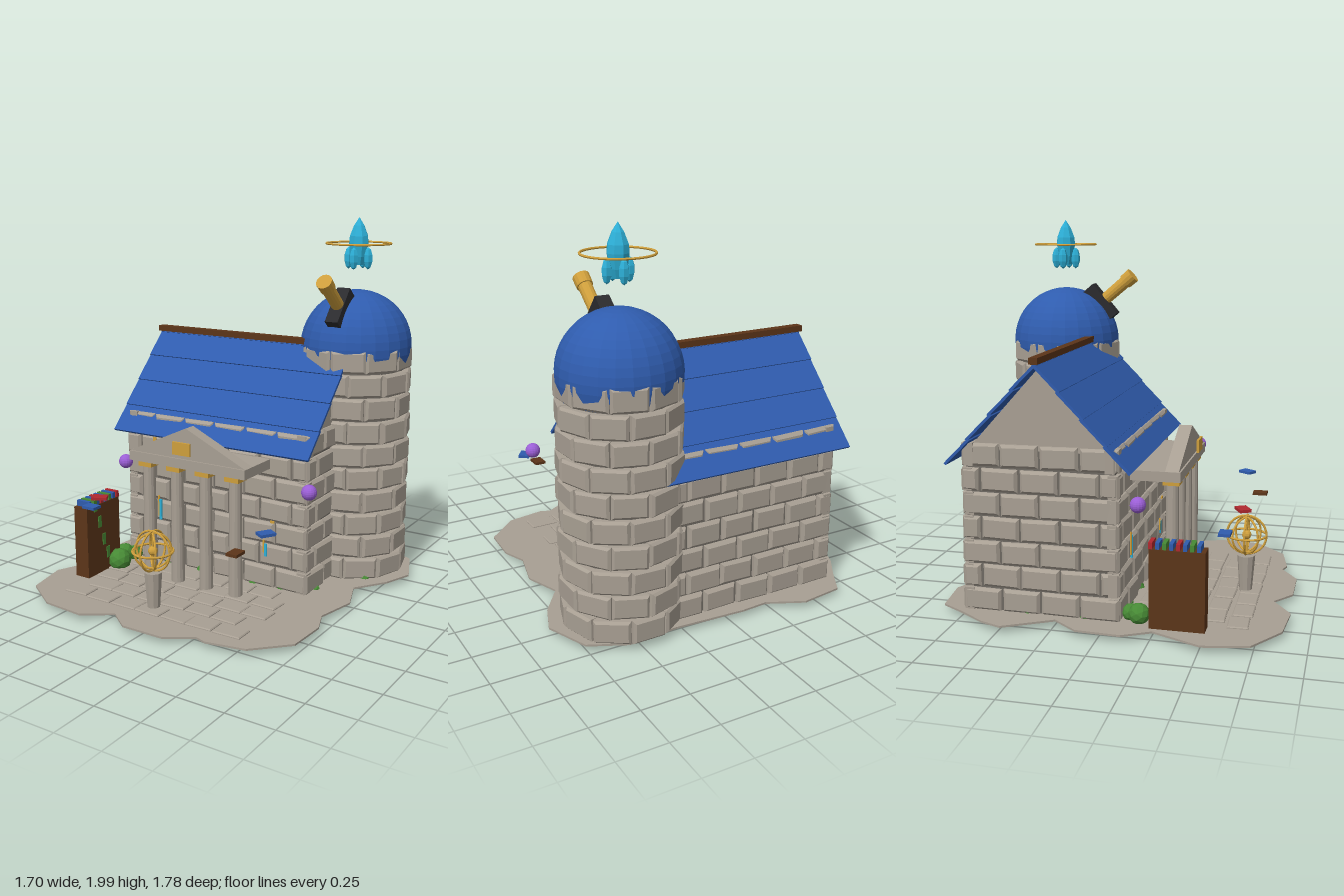
import * as THREE from 'three';
import { mergeGeometries } from 'three/addons/utils/BufferGeometryUtils.js';

const mat = (name, color, extra = {}) => new THREE.MeshStandardMaterial({ name, color, ...extra });

export function createModel() {
  const M = {
    stone: mat('stone', 0xa89f93), mortar: mat('mortar', 0x6f6a63), blue: mat('roof blue', 0x2f5cae),
    gold: mat('brass', 0xcf9f3c), wood: mat('dark wood', 0x5c3519), cyan: mat('cyan', 0x2db0d8),
    purple: mat('purple', 0x9b5fd6), green: mat('leaf green', 0x478a35), red: mat('book red', 0xb0282f),
    dark: mat('iron', 0x2b2b2e),
  };
  Object.values(M).forEach((m) => { m.flatShading = true; });
  const model = new THREE.Group();
  const add = (name, geo, m, x = 0, y = 0, z = 0, parent = model) => {
    const o = new THREE.Mesh(geo, m);
    o.name = name;
    o.position.set(x, y, z);
    parent.add(o);
    return o;
  };
  const box = (name, m, w, h, d, x, y, z, parent) => add(name, new THREE.BoxGeometry(w, h, d), m, x, y, z, parent);
  const group = (name, x, y, z) => {
    const g = new THREE.Group();
    g.name = name;
    g.position.set(x, y, z);
    model.add(g);
    return g;
  };
  let seed = 7;
  const rnd = (a) => { seed = (seed * 16807) % 2147483647; return (seed / 2147483647 - 0.5) * 2 * a; };

  // Brick with a chamfered outer (+z) face
  const brick = (w, h, d, c = 0.014) => {
    const g = new THREE.BoxGeometry(w, h, d, 1, 1, 2);
    const p = g.attributes.position;
    for (let i = 0; i < p.count; i++) {
      const z = p.getZ(i);
      if (z > 0.001) p.setXY(i, p.getX(i) - Math.sign(p.getX(i)) * c, p.getY(i) - Math.sign(p.getY(i)) * c);
      else if (Math.abs(z) < 0.001) p.setZ(i, d / 2 - c);
    }
    return g;
  };

  // Ground slab
  const outline = [-.85, -.48, -.81, -.59, -.71, -.74, -.64, -.86, -.41, -.89, -.22, -.8, -.08, -.81, .3, -.79,
    .57, -.81, .76, -.72, .85, -.49, .79, -.33, .67, -.16, .74, .03, .69, .25, .74, .38, .73, .6, .56, .77,
    .35, .81, .29, .79, .15, .88, -.09, .88, -.21, .79, -.36, .89, -.6, .87, -.8, .74, -.85, .51, -.74, .26,
    -.82, .12, -.81, -.11, -.71, -.24];
  const pts = [];
  for (let i = 0; i < outline.length; i += 2) pts.push(new THREE.Vector2(outline[i], -outline[i + 1]));
  const slab = new THREE.ExtrudeGeometry(new THREE.Shape(pts), { depth: 0.01, bevelEnabled: false });
  add('groundSlab', slab.rotateX(-Math.PI / 2), M.stone, 0, 0.035, 0);

  // Paving stones in staggered rows
  const paving = [];
  [[-.545, .655, 7], [-.48, .53, 6], [-.54, .405, 7], [-.56, .28, 7], [-.48, .165, 6]].forEach(([x0, z, n]) => {
    for (let i = 0; i < n; i++) {
      const g = brick(0.145 + rnd(0.008), 0.105, 0.02, 0.005).rotateX(-Math.PI / 2).rotateY(rnd(0.05));
      paving.push(g.translate(x0 + i * 0.158 + rnd(0.008), 0.044, z + rnd(0.006)));
    }
  });
  add('paving', mergeGeometries(paving), M.stone);

  // House core, brick walls and gable block
  const cx = -0.085, cz = -0.33;
  box('houseCore', M.mortar, 1.13, 0.85, 0.77, cx, 0.455, cz);
  const bricks = [];
  const wall = (len, dist, angle) => {
    const n = Math.round(len / 0.195);
    for (let r = 0; r < 7; r++) {
      const shift = r % 2 ? 0.5 : 0;
      for (let i = 0; i < n + (r % 2); i++) {
        const a = Math.max(0, i - shift) * len / n, b = Math.min(n, i + 1 - shift) * len / n;
        const g = brick(b - a - 0.01 + rnd(0.004), 0.116, 0.06).rotateY(rnd(0.04)).rotateZ(rnd(0.02));
        g.translate((a + b - len) / 2, 0.1 + r * 0.125, dist - 0.03 + rnd(0.005) - (r === 6 ? 0.008 : 0));
        bricks.push(g.rotateY(angle).translate(cx, 0, cz));
      }
    }
  };
  for (let k = 0; k < 4; k++) wall(k % 2 ? 0.82 : 1.18, k % 2 ? 0.59 : 0.41, k * Math.PI / 2);
  add('houseBricks', mergeGeometries(bricks), M.stone);
  const gable = new THREE.Shape([new THREE.Vector2(-0.385, 0.86), new THREE.Vector2(0.385, 0.86), new THREE.Vector2(0, 1.29)]);
  const gableGeo = new THREE.ExtrudeGeometry(gable, { depth: 1.12, bevelEnabled: false });
  add('gables', gableGeo.translate(0, 0, -0.56).rotateY(Math.PI / 2), M.stone, cx, 0, cz);

  // Roof: four overlapping courses on each slope, with a ridge beam
  const L = 0.69 / 4;
  [0, Math.PI].forEach((turn, k) => {
    const side = group(k ? 'backRoof' : 'frontRoof', cx, 1.315, cz);
    side.rotation.y = turn;
    const slope = new THREE.Group();
    slope.rotation.x = 0.828;
    side.add(slope);
    for (let i = 0; i < 4; i++) {
      box('roofCourse', M.blue, 1.25, 0.014, L + 0.012, 0, 0, (i + 0.5) * L, slope).rotation.x = -0.04;
    }
  });
  box('ridgeBeam', M.wood, 1.2, 0.032, 0.045, -0.12, 1.334, cz);

  // Round tower: core and brick rings
  const tx = 0.47, tz = -0.53;
  add('towerCore', new THREE.CylinderGeometry(0.27, 0.27, 1.25, 20), M.mortar, tx, 0.655, tz);
  const rings = [];
  for (let r = 0; r < 10; r++) {
    for (let i = 0; i < 10; i++) {
      const g = brick(0.18 + rnd(0.006), 0.117, 0.07, 0.012).rotateY(rnd(0.06)).rotateZ(rnd(0.02));
      g.translate(0, 0.1 + r * 0.128, 0.265 + rnd(0.005)).rotateY((i + (r % 2) / 2) * Math.PI / 5);
      rings.push(g.translate(tx, 0, tz));
    }
  }
  add('towerBricks', mergeGeometries(rings), M.stone);
  const dome = new THREE.SphereGeometry(0.306, 24, 14, 0, Math.PI * 2, 0, Math.PI * 0.62);
  M.blue.side = THREE.DoubleSide;
  add('dome', dome, M.blue, tx, 1.305, tz);

  // Telescope in its dome slit
  const scope = group('telescope', tx, 1.515, -0.33);
  scope.rotation.x = 0.87;
  box('domeSlit', M.dark, 0.075, 0.11, 0.22, 0, 0, 0, scope);
  add('scopeTube', new THREE.CylinderGeometry(0.036, 0.034, 0.22, 14), M.gold, 0, 0.13, 0, scope);
  add('scopeRim', new THREE.CylinderGeometry(0.044, 0.042, 0.06, 14), M.gold, 0, 0.235, 0, scope);

  // Floating rocket with orbit ring
  const rocket = group('rocket', tx, 0, tz);
  const hull = [[0, 2], [.03, 1.955], [.052, 1.9], [.055, 1.86], [.045, 1.79], [.03, 1.745], [0, 1.745]];
  const hullGeo = new THREE.LatheGeometry(hull.reverse().map(([r, y]) => new THREE.Vector2(r, y)), 8);
  add('rocketHull', hullGeo, M.cyan, 0, 0, 0, rocket);
  for (let i = 0; i < 4; i++) {
    const a = i * Math.PI / 2;
    const pod = new THREE.SphereGeometry(0.026, 6, 5).scale(1, 2.3, 1);
    add('rocketFin', pod, M.cyan, Math.sin(a) * 0.058, 1.781, Math.cos(a) * 0.058, rocket);
  }
  add('orbitRing', new THREE.TorusGeometry(0.175, 0.006, 6, 40).rotateX(Math.PI / 2), M.gold, 0, 1.86, 0, rocket);

  // Portico
  const portico = group('portico', cx, 0, 0);
  for (let i = 0; i < 4; i++) {
    const x = (i - 1.5) * 0.185;
    add('column', new THREE.CylinderGeometry(0.033, 0.037, 0.65, 14), M.stone, x, 0.36, 0.28, portico);
    box('capital', M.gold, 0.085, 0.03, 0.085, x, 0.697, 0.28, portico);
  }
  box('entablature', M.stone, 0.735, 0.052, 0.26, 0, 0.738, 0.207, portico);
  const tri = new THREE.Shape([new THREE.Vector2(-0.367, 0.763), new THREE.Vector2(0.367, 0.763), new THREE.Vector2(0, 0.932)]);
  add('pediment', new THREE.ExtrudeGeometry(tri, { depth: 0.07, bevelEnabled: false }), M.stone, 0, 0, 0.258, portico);
  box('plaque', M.gold, 0.11, 0.068, 0.012, 0, 0.83, 0.368, portico);

  // Armillary sphere on a pedestal
  add('pedestal', new THREE.CylinderGeometry(0.048, 0.033, 0.2, 10), M.stone, cx, 0.143, 0.627);
  const globe = group('armillarySphere', cx, 0.355, 0.627);
  [[0, 0], [0, Math.PI / 2], [Math.PI / 2, 0], [0, Math.PI / 4], [0, -Math.PI / 4]].forEach(([rx, ry], i) => {
    const s = i > 2 ? 0.095 : 0.105;
    add('ring', new THREE.TorusGeometry(s, 0.006, 6, 28), M.gold, 0, 0, 0, globe).rotation.set(rx, ry, 0);
  });
  add('axis', new THREE.CylinderGeometry(0.005, 0.005, 0.21, 6), M.gold, 0, 0, 0, globe);
  add('hub', new THREE.SphereGeometry(0.025, 10, 8), M.gold, 0, 0, 0, globe);

  // Bookcase
  box('bookcase', M.wood, 0.09, 0.416, 0.275, -0.665, 0.238, 0.372);
  const covers = [M.blue, M.green, M.blue, M.red];
  for (let i = 0; i < 8; i++) box('shelfBook', covers[i % 4], 0.085, 0.035, 0.02, -0.665, 0.461, 0.478 - i * 0.034);
  [[.345, .405], [.235, .372], [.15, .34], [.445, .44]].forEach(([y, z]) => box('shelfBook', M.green, 0.02, 0.065, 0.025, -0.626, y, z));

  // Floating books and orbs
  [[M.red, -.41, .587, .645, .5], [M.blue, -.53, .495, .575, 0], [M.blue, .535, .543, .55, 1], [M.wood, .42, .45, .64, 1.57]]
    .forEach(([m, x, y, z, turn]) => { box('floatingBook', m, 0.08, 0.015, 0.06, x, y, z).rotation.y = turn; });
  [[.605, .68, .25], [-.62, .635, .16]].forEach(([x, y, z]) => add('orb', new THREE.SphereGeometry(0.04, 16, 12), M.purple, x, y, z));

  // Window slivers between the front bricks
  [[-.435, .36, .12], [.26, .255, .07]].forEach(([x, y, h]) => {
    box('windowGlass', M.cyan, 0.016, h, 0.008, x, y, 0.085);
    box('windowFrame', M.gold, 0.008, h, 0.008, x - 0.012, y + 0.02, 0.084);
  });
  box('windowFrame', M.gold, 0.02, 0.03, 0.008, -0.47, 0.765, 0.085);
  box('windowFrame', M.gold, 0.025, 0.012, 0.008, 0.3, 0.42, 0.085);

  // Shrubs by the bookcase and along the foot of the walls
  [[-.585, .09, .28, .065], [-.635, .085, .17, .055], [-.6, .075, .12, .045], [-.4, .04, .06, .03], [-.17, .04, .06, .035],
    [.17, .04, .06, .03], [.34, .04, .05, .03], [.5, .035, -.04, .03], [.66, .04, -.32, .03], [.72, .035, -.5, .035],
    [.62, .04, -.72, .03], [.4, .04, -.76, .03], [-.64, .04, -.1, .035], [-.64, .04, -.4, .03]]
    .forEach(([x, y, z, r], i) => { add('shrub', new THREE.IcosahedronGeometry(r, 1 - (i > 2)), M.green, x, y, z).rotation.y = i; });

  return model;
}
